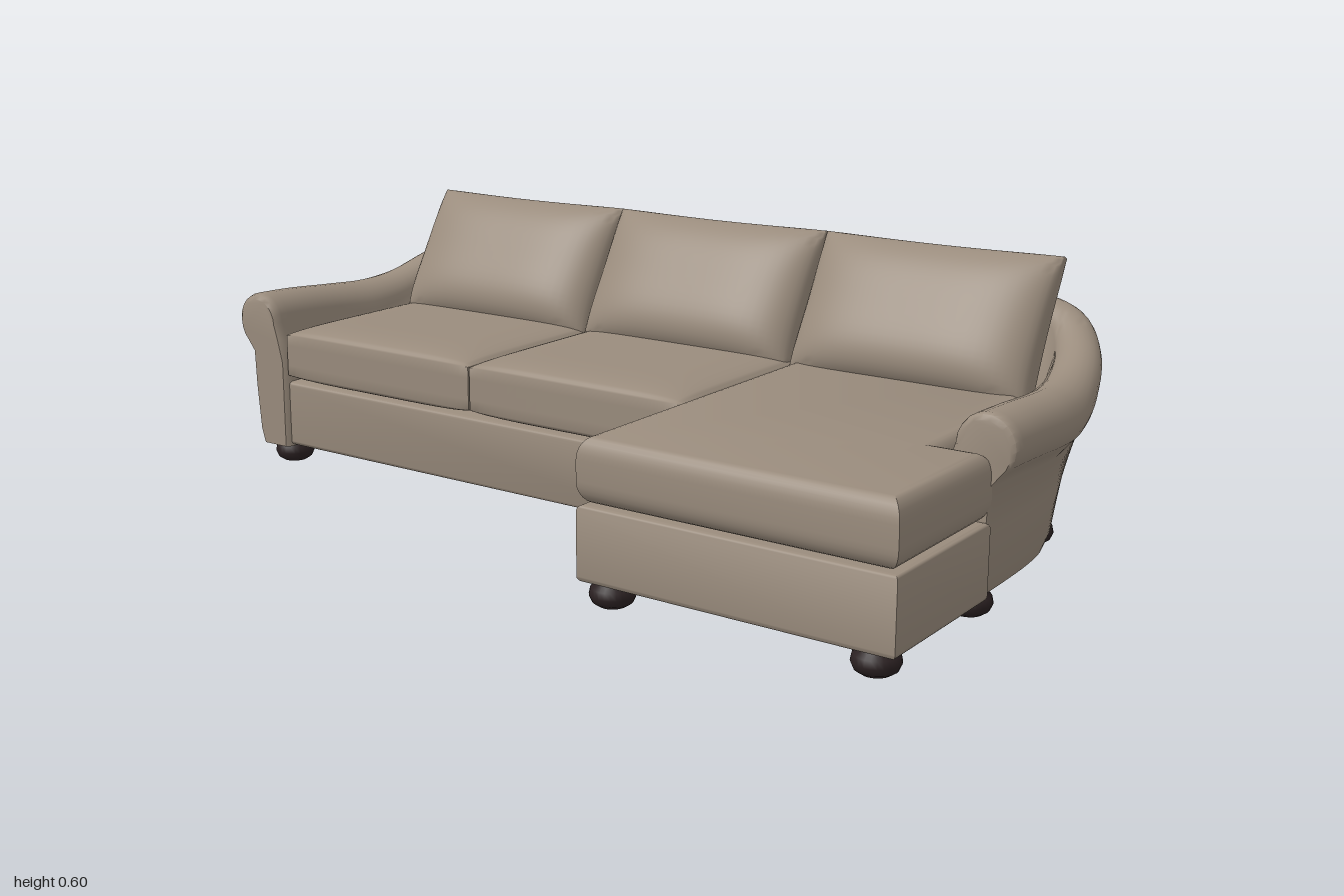
import * as THREE from 'three';
import { mergeVertices, toCreasedNormals } from 'three/addons/utils/BufferGeometryUtils.js';

const { lerp, smoothstep } = THREE.MathUtils;

// Upholstered wall cross-section: inner face, rolled top, outer face.
// w blends from arm (0) to backrest (1); u points outward.
function wallSection(topY, w) {
  const r = lerp(0.062, 0.045, w), yc = topY - r;
  const pts = [[lerp(-0.09, -0.16, w), 0.047], [lerp(-0.09, -0.1, w), 0.25], [lerp(-0.075, -0.06, w), yc - 0.04]];
  const end = lerp(-50, -15, w);
  for (let k = 0; k <= 14; k++) {
    const a = THREE.MathUtils.degToRad(lerp(180, end, k / 14));
    pts.push([r * Math.cos(a), yc + r * Math.sin(a)]);
  }
  pts.push([lerp(0.017, 0.027, w), yc - 0.075]);
  pts.push([lerp(0.013, -0.03, w), 0.18]);
  pts.push([lerp(0.002, -0.062, w), 0.08]);
  pts.push([lerp(-0.01, -0.078, w), 0.047]);
  return pts;
}

// Sweeps the wall section along a path of (x, top height, z); one end is softly inset
function wallGeometry(path, insetStart) {
  const curve = new THREE.CatmullRomCurve3(path.map(p => new THREE.Vector3(...p)));
  const N = 80, pos = [], idx = [], sections = [];
  for (let i = 0; i <= N; i++) {
    const k = insetStart ? i : N - i;
    // extra close stations round off the arm front
    const d = k === 0 ? 0 : k === 1 ? 0.004 : k === 2 ? 0.012 : 0.012 + (0.988 * (k - 2)) / (N - 2);
    const t = insetStart ? d : 1 - d;
    const p = curve.getPointAt(t), tan = curve.getTangentAt(t).setY(0).normalize();
    const s = k === 0 ? 0.86 : k === 1 ? 0.96 : 1;
    const sec = wallSection(p.y, smoothstep(-p.z, 0.14, 0.46)).map(([u, y]) =>
      [-0.02 + (u + 0.02) * s, y < 0.1 ? y : 0.25 + (y - 0.25) * lerp(1, s, 0.6)]);
    sections.push(sec);
    for (const [u, y] of sec) pos.push(p.x + tan.z * u, y, p.z - tan.x * u);
  }
  const M = sections[0].length;
  for (let i = 0; i < N; i++) for (let j = 0; j < M; j++) {
    const a = i * M + j, b = i * M + (j + 1) % M;
    idx.push(a, a + M, b, b, a + M, b + M);
  }
  // end caps
  for (const row of [0, N]) {
    const contour = sections[row].map(([u, y]) => new THREE.Vector2(-u, y));
    for (const [a, b, c] of THREE.ShapeUtils.triangulateShape(contour, [])) {
      const o = row * M;
      if (row === 0) idx.push(o + a, o + b, o + c);
      else idx.push(o + a, o + c, o + b);
    }
  }
  const g = new THREE.BufferGeometry();
  g.setAttribute('position', new THREE.Float32BufferAttribute(pos, 3));
  g.setIndex(idx);
  return toCreasedNormals(g, 0.75);
}

// Soft-edged slab from a plan outline of [x, z] points
function slabGeometry(outline, y0, y1, size, thick) {
  const shape = new THREE.Shape(outline.map(([x, z]) => new THREE.Vector2(x, -z)));
  const g = new THREE.ExtrudeGeometry(shape, {
    depth: y1 - y0 - 2 * thick, bevelEnabled: true, bevelSize: size,
    bevelOffset: -size, bevelThickness: thick, bevelSegments: 6,
  });
  g.rotateX(-Math.PI / 2).translate(0, y0 + thick, 0);
  return toCreasedNormals(g, 0.7);
}

// Stuffed cushion: a box whose thickness falls off towards its border
function cushionGeometry(w, h, t, { power, edge, pinch = 0, taper = 0 }) {
  const g = new THREE.BoxGeometry(2, 2, 2, 28, 28, 4);
  const p = g.attributes.position;
  for (let i = 0; i < p.count; i++) {
    const u = Math.sin(p.getX(i) * Math.PI / 2), v = Math.sin(p.getY(i) * Math.PI / 2);
    const full = Math.sqrt(Math.max(0, (1 - Math.abs(u) ** power) * (1 - Math.abs(v) ** power)));
    p.setXYZ(i,
      u * w / 2 * (1 - pinch * (1 - v * v)),
      v * h / 2 * (1 - pinch * 1.6 * (1 - u * u)),
      p.getZ(i) * t / 2 * (edge + (1 - edge) * full) * (1 - taper * v));
  }
  g.deleteAttribute('uv');
  g.deleteAttribute('normal');
  return toCreasedNormals(mergeVertices(g), 1.0);
}

export function createModel() {
  const fabric = new THREE.MeshStandardMaterial({ color: 0x9a8c7d });
  fabric.name = 'taupe fabric';
  const wood = new THREE.MeshStandardMaterial({ color: 0x2b2122 });
  wood.name = 'dark wood';

  const sofa = new THREE.Group();
  sofa.name = 'sectionalSofa';
  const add = (name, geometry, material = fabric) => {
    const m = new THREE.Mesh(geometry, material);
    m.name = name;
    sofa.add(m);
    return m;
  };

  // Arms flowing into the backrest, in two sections
  const armPath = [
    [-0.937, 0.408, 0.172], [-0.937, 0.404, 0.06], [-0.932, 0.394, -0.08], [-0.92, 0.39, -0.18],
    [-0.905, 0.402, -0.28], [-0.878, 0.442, -0.38], [-0.825, 0.485, -0.45], [-0.74, 0.502, -0.478],
    [-0.6, 0.505, -0.485],
  ];
  const mirrored = armPath.map(([x, y, z]) => [-x, y, z]).reverse();
  add('mainArmAndBack', wallGeometry([...armPath, [-0.2, 0.505, -0.485], [0.272, 0.505, -0.485]], true));
  add('chaiseArmAndBack', wallGeometry([[0.278, 0.505, -0.485], ...mirrored], false));

  // Bases
  add('mainBase', slabGeometry(
    [[-0.87, 0.16], [0.272, 0.16], [0.272, -0.38], [-0.76, -0.38], [-0.87, -0.2]], 0.05, 0.205, 0.01, 0.01));
  const chaisePlan = (back, inner) => [
    [0.278, 0.522], [0.952, 0.522], [0.952, 0.165], [inner, 0.165], [inner, -0.2], [0.76, back], [0.278, back]];
  add('chaiseBase', slabGeometry(chaisePlan(-0.38, 0.87), 0.05, 0.203, 0.012, 0.012));

  // Seat cushions
  for (const [name, x] of [['rightSeatCushion', -0.566], ['middleSeatCushion', -0.006]]) {
    const g = cushionGeometry(0.556, 0.52, 0.142, { power: 5, edge: 0.68 });
    add(name, g.rotateX(-Math.PI / 2).translate(x, 0.271, -0.093));
  }
  add('chaiseCushion', slabGeometry(chaisePlan(-0.36, 0.855), 0.204, 0.336, 0.03, 0.045));

  // Back cushions leaning on the backrest
  for (const [name, x] of [['rightBackCushion', -0.563], ['middleBackCushion', -0.01], ['leftBackCushion', 0.548]]) {
    const m = add(name, cushionGeometry(0.556, 0.335, 0.18, { power: 3.5, edge: 0.1, pinch: 0.02, taper: 0.2 }));
    m.position.set(x, 0.445, -0.338);
    m.rotation.x = -0.48;
  }

  // Bun feet
  const footProfile = [[0, 0], [0.028, 0], [0.04, 0.008], [0.046, 0.022], [0.043, 0.036], [0.032, 0.046], [0.03, 0.055], [0, 0.055]];
  const foot = new THREE.LatheGeometry(footProfile.map(([x, y]) => new THREE.Vector2(x, y)), 24);
  const feet = [
    [-0.89, 0.11], [-0.845, -0.35], [0.23, 0.11], [0.23, -0.35], [0.325, -0.35],
    [0.81, -0.35], [0.89, 0.11], [0.89, 0.47], [0.325, 0.47],
  ];
  for (const [x, z] of feet) add('foot', foot, wood).position.set(x, 0, z);

  return sofa;
}
